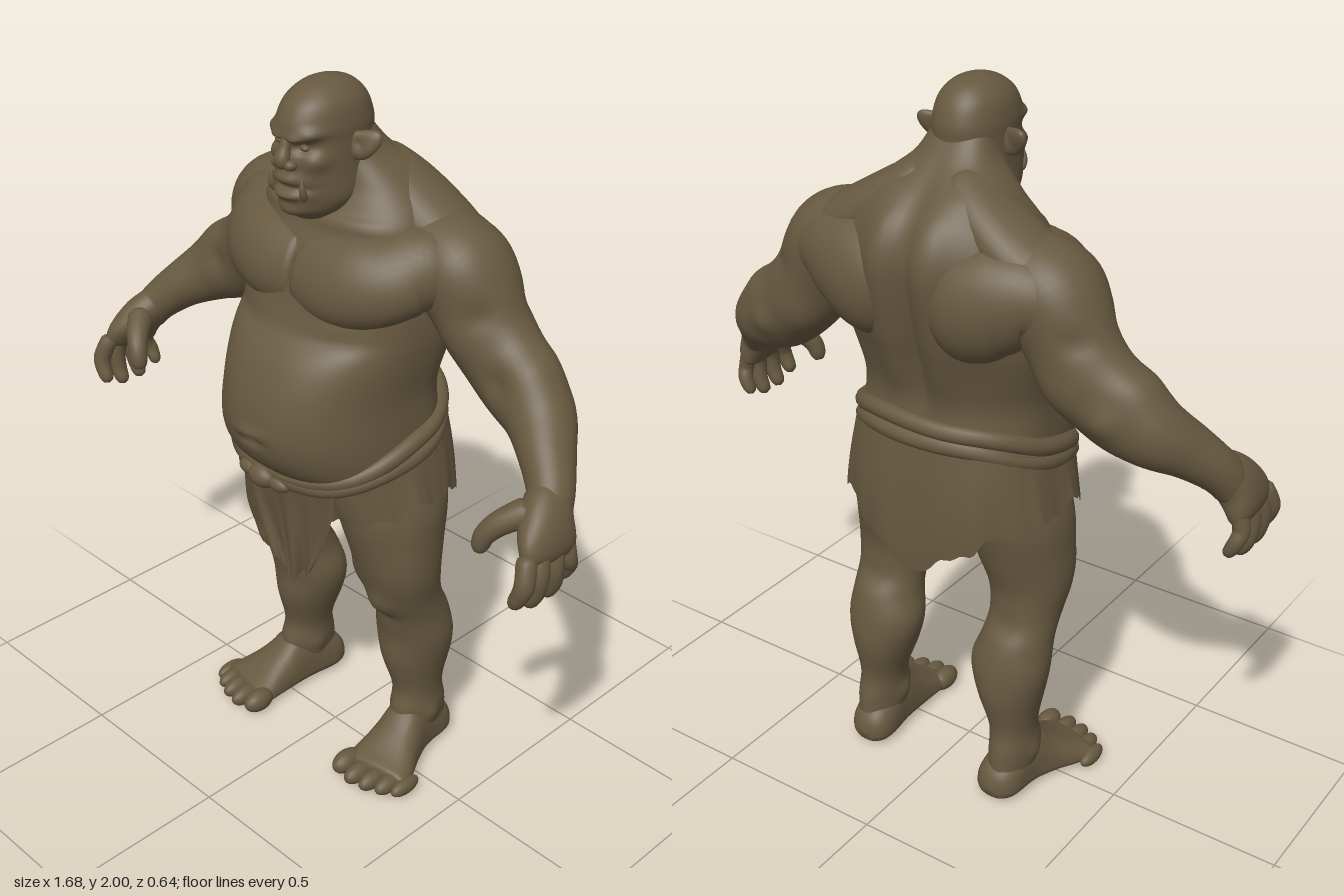
import * as THREE from 'three';
import { ParametricGeometry } from 'three/addons/geometries/ParametricGeometry.js';

const hide = new THREE.MeshStandardMaterial({ color: 0x675940, side: THREE.DoubleSide });
hide.name = 'earthy brown';

// Smooth interpolation through rows of numbers
function sample(rows, t) {
  const n = rows.length - 1, i = Math.min(Math.floor(t), n - 1), f = t - i;
  const p = rows[Math.max(i - 1, 0)], a = rows[i], b = rows[i + 1], q = rows[Math.min(i + 2, n)];
  return a.map((v, k) => v + 0.5 * f * (b[k] - p[k] + f * (2 * p[k] - 5 * v + 4 * b[k] - q[k]
    + f * (3 * (v - b[k]) + q[k] - p[k]))));
}

// Skin over cross-sections [x, y, z, side, front, back]; bumps [x, y, z, rx, ry, rz, height] sculpt it
function loft(rows, { seg = 32, sub = 6, level = false, ref = [0, 0, 1], round = [0, 0], pow = 1, bumps = [] } = {}) {
  const n = rows.length - 1, rings = n * sub, pos = [], idx = [];
  const T = new THREE.Vector3(), U = new THREE.Vector3(), V = new THREE.Vector3(), P = new THREE.Vector3();
  const soft = (d, len) => len && d < len ? Math.sqrt(Math.max(0.0006, 1 - (1 - d / len) ** 2)) : 1;
  const bend = (v) => Math.sign(v) * Math.abs(v) ** pow;
  for (let i = 0; i <= rings; i++) {
    const t = i / sub, r = sample(rows, t), s = soft(t, round[0]) * soft(n - t, round[1]);
    const before = sample(rows, Math.max(t - 0.05, 0)), after = sample(rows, Math.min(t + 0.05, n));
    if (level) T.set(0, 1, 0);
    else T.set(after[0] - before[0], after[1] - before[1], after[2] - before[2]).normalize();
    V.set(...ref).addScaledVector(T, -T.dot(V)).normalize();
    U.crossVectors(T, V);
    for (let j = 0; j < seg; j++) {
      const c = bend(Math.cos(j / seg * Math.PI * 2)), d = bend(Math.sin(j / seg * Math.PI * 2));
      P.set(r[0], r[1], r[2]).addScaledVector(U, c * r[3] * s).addScaledVector(V, d * (d > 0 ? r[4] : r[5]) * s);
      pos.push(P.x, P.y, P.z);
      const a = i * seg + j, b = i * seg + (j + 1) % seg;
      if (i < rings) idx.push(a, a + seg, b, b, a + seg, b + seg);
    }
  }
  const low = pos.length / 3, last = rings * seg;
  pos.push(...rows[0].slice(0, 3), ...rows[n].slice(0, 3));
  for (let j = 0; j < seg; j++) {
    const k = (j + 1) % seg;
    idx.push(low, j, k, low + 1, last + k, last + j);
  }
  const g = new THREE.BufferGeometry();
  g.setAttribute('position', new THREE.Float32BufferAttribute(pos, 3));
  g.setIndex(idx);
  g.computeVertexNormals();
  const at = g.attributes.position;
  for (let i = 0; bumps.length && i < at.count; i++) {
    P.fromBufferAttribute(at, i);
    const h = bumps.reduce((sum, b) => sum + b[6] * Math.exp(
      -(((P.x - b[0]) / b[3]) ** 2) - ((P.y - b[1]) / b[4]) ** 2 - ((P.z - b[2]) / b[5]) ** 2), 0);
    P.addScaledVector(V.fromBufferAttribute(g.attributes.normal, i), h);
    at.setXYZ(i, P.x, P.y, P.z);
  }
  g.computeVertexNormals();
  return g;
}

const both = (list) => list.flatMap((b) => [b, [-b[0], ...b.slice(1)]]);
const ball = (x, y, z, rx, ry, rz) => new THREE.SphereGeometry(1, 20, 14).scale(rx, ry, rz).translate(x, y, z);
function mirror(geo) {
  const g = geo.clone().scale(-1, 1, 1);
  g.index.array.reverse();
  g.computeVertexNormals();
  return g;
}

export function createModel() {
  const model = new THREE.Group();
  model.name = 'ogre';
  const add = (name, geo) => {
    const m = new THREE.Mesh(geo, hide);
    m.name = name;
    model.add(m);
  };
  const pair = (name, geo) => { add(name + 'Left', geo); add(name + 'Right', mirror(geo)); };

  // Torso: round belly, humped back
  add('torso', loft([
    [0, 0.85, -0.04, 0.24, 0.15, 0.15], [0, 0.95, -0.04, 0.275, 0.25, 0.2], [0, 1.02, -0.04, 0.278, 0.32, 0.2],
    [0, 1.1, -0.04, 0.276, 0.35, 0.19], [0, 1.2, -0.04, 0.272, 0.34, 0.175], [0, 1.3, -0.05, 0.282, 0.31, 0.188],
    [0, 1.4, -0.06, 0.288, 0.25, 0.213], [0, 1.5, -0.07, 0.285, 0.23, 0.222], [0, 1.6, -0.08, 0.275, 0.2, 0.215],
    [0, 1.68, -0.08, 0.245, 0.155, 0.19], [0, 1.74, -0.08, 0.19, 0.13, 0.14], [0, 1.81, -0.05, 0.115, 0.1, 0.09],
    [0, 1.88, -0.02, 0.08, 0.07, 0.06]], {
    seg: 80, sub: 8, level: true, pow: 0.87,
    bumps: [
      ...both([[0.14, 1.375, 0.2, 0.12, 0.022, 0.14, -0.01], [0.12, 1.655, 0.07, 0.13, 0.018, 0.08, 0.012],
        [0.07, 1.6, -0.3, 0.05, 0.16, 0.1, 0.022], [0.07, 1.3, -0.24, 0.05, 0.14, 0.1, 0.014],
        [0.28, 1.38, -0.12, 0.1, 0.1, 0.1, 0.014], [0.12, 1.74, -0.14, 0.06, 0.06, 0.1, 0.012]]),
      [0, 1.42, -0.28, 0.03, 0.3, 0.15, -0.03],
      [0, 1.09, 0.31, 0.035, 0.012, 0.05, -0.016], [0, 1.115, 0.31, 0.045, 0.014, 0.05, 0.012]]
  }));
  // Muscle masses that carry the shoulders into the body
  pair('chestMuscle', loft([[-0.005, 1.515, 0.09, 0.105, 0.072, 0.06], [0.11, 1.515, 0.095, 0.116, 0.08, 0.08],
    [0.2, 1.53, 0.06, 0.118, 0.088, 0.09], [0.28, 1.56, -0.02, 0.108, 0.085, 0.09],
    [0.37, 1.54, -0.09, 0.08, 0.06, 0.06]], { sub: 8, ref: [0, 0.4, 1], round: [0.25, 0.9] }));
  pair('shoulderBlade', loft([[0.02, 1.48, -0.18, 0.12, 0.06, 0.085], [0.13, 1.5, -0.2, 0.15, 0.08, 0.112],
    [0.22, 1.53, -0.19, 0.14, 0.1, 0.11], [0.31, 1.54, -0.16, 0.11, 0.09, 0.103],
    [0.4, 1.48, -0.14, 0.08, 0.07, 0.08]], { sub: 8, round: [1, 0.7] }));
  pair('neckMuscle', loft([[0.03, 1.78, -0.08, 0.06, 0.06, 0.07], [0.125, 1.715, -0.11, 0.068, 0.09, 0.1],
    [0.23, 1.64, -0.12, 0.078, 0.1, 0.115], [0.32, 1.575, -0.12, 0.09, 0.1, 0.11]], { sub: 8, round: [0.5, 0.5] }));

  // Head: bald dome, heavy brow, broad underbite
  add('head', loft([
    [0, 1.66, 0.07, 0.05, 0.06, 0.05], [0, 1.69, 0.05, 0.083, 0.11, 0.07], [0, 1.74, 0.03, 0.1, 0.143, 0.09],
    [0, 1.8, 0.03, 0.1, 0.145, 0.12], [0, 1.86, 0.03, 0.098, 0.138, 0.128], [0, 1.9, 0.03, 0.097, 0.143, 0.126],
    [0, 1.95, 0.03, 0.084, 0.118, 0.106], [0, 1.985, 0.03, 0.052, 0.07, 0.068], [0, 2, 0.03, 0.012, 0.015, 0.015]], {
    seg: 80, sub: 9, level: true, pow: 0.94,
    bumps: [
      ...both([[0.03, 1.876, 0.175, 0.025, 0.011, 0.04, 0.014], [0.065, 1.888, 0.15, 0.025, 0.013, 0.04, 0.012],
        [0.045, 1.853, 0.16, 0.025, 0.014, 0.04, -0.018], [0.07, 1.82, 0.13, 0.022, 0.022, 0.04, 0.012],
        [0.045, 1.79, 0.165, 0.012, 0.035, 0.04, -0.007], [0.085, 1.72, 0.06, 0.04, 0.03, 0.05, 0.006]]),
      [0, 1.75, 0.175, 0.06, 0.008, 0.05, -0.014], [0, 1.732, 0.18, 0.05, 0.012, 0.05, 0.016],
      [0, 1.772, 0.18, 0.045, 0.014, 0.05, 0.012], [0, 1.69, 0.16, 0.04, 0.016, 0.05, 0.012]]
  }));
  add('nose', loft([[0, 1.885, 0.16, 0.016, 0.014, 0.02], [0, 1.85, 0.17, 0.016, 0.015, 0.02],
    [0, 1.82, 0.18, 0.022, 0.02, 0.02], [0, 1.798, 0.175, 0.018, 0.014, 0.02]], { seg: 20, round: [0.8, 0.9] }));
  pair('nostril', ball(0.022, 1.81, 0.172, 0.017, 0.014, 0.018));
  pair('eye', ball(0.044, 1.853, 0.146, 0.014, 0.008, 0.01));
  pair('tusk', loft([[0.052, 1.725, 0.153, 0.01, 0.01, 0.01], [0.055, 1.75, 0.165, 0.009, 0.009, 0.009],
    [0.053, 1.78, 0.165, 0.002, 0.002, 0.002]], { seg: 12, round: [0.5, 0.1] }));
  pair('ear', loft([[0.085, 1.84, 0.028, 0.034, 0.016, 0.02], [0.113, 1.848, 0.025, 0.036, 0.018, 0.018],
    [0.137, 1.863, 0.012, 0.028, 0.014, 0.014], [0.157, 1.88, 0, 0.012, 0.008, 0.008]], {
    seg: 28, sub: 8, round: [0, 0.6], bumps: [[0.118, 1.855, 0.045, 0.018, 0.02, 0.03, -0.012]]
  }));

  // Arms
  pair('arm', loft([
    [0.16, 1.6, -0.1, 0.07, 0.09, 0.12], [0.25, 1.585, -0.11, 0.112, 0.115, 0.125], [0.335, 1.53, -0.12, 0.127, 0.13, 0.13],
    [0.42, 1.4, -0.13, 0.118, 0.105, 0.108], [0.515, 1.308, -0.13, 0.113, 0.1, 0.088], [0.605, 1.253, -0.105, 0.095, 0.09, 0.09],
    [0.68, 1.198, -0.05, 0.071, 0.074, 0.074], [0.74, 1.138, 0, 0.058, 0.062, 0.058], [0.77, 1.08, 0.045, 0.048, 0.06, 0.06]], {
    seg: 44, sub: 8, round: [0, 0.4],
    bumps: [[0.37, 1.59, -0.1, 0.07, 0.07, 0.12, 0.016], [0.45, 1.48, -0.12, 0.03, 0.03, 0.14, -0.016],
      [0.4, 1.4, -0.01, 0.06, 0.07, 0.05, 0.018], [0.4, 1.33, -0.22, 0.07, 0.07, 0.06, 0.016],
      [0.52, 1.33, -0.03, 0.035, 0.035, 0.05, -0.014], [0.58, 1.36, -0.11, 0.06, 0.05, 0.08, 0.02],
      [0.53, 1.29, -0.22, 0.04, 0.04, 0.04, 0.016]]
  }));
  // Hands: palms inward, fingers hanging and curled
  pair('palm', loft([[0.728, 1.155, -0.01, 0.045, 0.05, 0.05], [0.765, 1.1, 0.043, 0.053, 0.072, 0.07],
    [0.792, 1.045, 0.07, 0.043, 0.09, 0.088], [0.798, 1.0, 0.08, 0.024, 0.08, 0.08]], { round: [0.6, 0.6], pow: 0.9 }));
  [[0.148, 0.176, 0.915], [0.1, 0.12, 0.893], [0.052, 0.057, 0.893], [0.008, -0.004, 0.915]].forEach(([z, end, y], i) => {
    const r = i === 3 ? 0.023 : 0.026;
    pair('finger' + (i + 1), loft([[0.795, 1.05, z, r, r, r], [0.812, 0.99, (z + end) / 2 + 0.008, r, r, r],
      [0.806, y + 0.04, end, r * 0.9, r * 0.9, r * 0.9], [0.782, y - 0.005, end, r * 0.75, r * 0.75, r * 0.75]],
    { seg: 14, round: [0.4, 0.6] }));
  });
  pair('thumb', loft([[0.745, 1.12, 0.07, 0.04, 0.04, 0.04], [0.695, 1.085, 0.125, 0.032, 0.032, 0.032],
    [0.665, 1.045, 0.15, 0.027, 0.027, 0.027], [0.653, 0.995, 0.155, 0.021, 0.021, 0.021]], { seg: 16, round: [0.4, 0.6] }));

  // Legs
  pair('leg', loft([
    [0.23, 0.04, -0.12, 0.056, 0.07, 0.09], [0.232, 0.14, -0.105, 0.064, 0.09, 0.098], [0.228, 0.22, -0.11, 0.064, 0.082, 0.08],
    [0.218, 0.33, -0.11, 0.09, 0.11, 0.1], [0.216, 0.42, -0.1, 0.104, 0.105, 0.105], [0.223, 0.5, -0.08, 0.097, 0.105, 0.105],
    [0.225, 0.57, -0.05, 0.098, 0.105, 0.105], [0.222, 0.65, -0.035, 0.11, 0.118, 0.11], [0.203, 0.75, -0.03, 0.128, 0.14, 0.14],
    [0.187, 0.85, -0.03, 0.14, 0.16, 0.165], [0.165, 0.95, -0.04, 0.13, 0.165, 0.17], [0.15, 1.02, -0.05, 0.1, 0.12, 0.14]], {
    seg: 44, level: true,
    bumps: [[0.222, 0.565, 0.06, 0.045, 0.04, 0.05, 0.016], [0.222, 0.505, 0.03, 0.04, 0.02, 0.04, -0.008],
      [0.13, 0.42, -0.13, 0.05, 0.08, 0.07, 0.012], [0.29, 0.4, -0.13, 0.05, 0.08, 0.07, 0.01],
      [0.15, 0.65, 0.04, 0.045, 0.05, 0.06, 0.016], [0.3, 0.7, 0.02, 0.05, 0.1, 0.07, 0.012],
      [0.22, 0.56, -0.17, 0.05, 0.04, 0.05, -0.01], [0.3, 0.13, -0.1, 0.02, 0.025, 0.03, 0.01],
      [0.166, 0.14, -0.09, 0.02, 0.025, 0.03, 0.01]]
  }));
  // Feet and toes
  pair('foot', loft([
    [0.225, 0.042, -0.228, 0.05, 0.05, 0.04], [0.225, 0.042, -0.17, 0.066, 0.085, 0.042], [0.235, 0.042, -0.08, 0.066, 0.14, 0.042],
    [0.25, 0.036, 0, 0.08, 0.092, 0.036], [0.268, 0.03, 0.075, 0.1, 0.05, 0.03], [0.278, 0.026, 0.125, 0.108, 0.032, 0.026]],
  { ref: [0, 1, 0], round: [0.8, 0.4], pow: 0.88 }));
  [[0.19, 0.034, 0.138], [0.243, 0.029, 0.145], [0.291, 0.028, 0.135], [0.335, 0.027, 0.115], [0.372, 0.024, 0.088]]
    .forEach(([x, r, z], i) => pair('toe' + (i + 1), ball(x, r, z, r * 0.92, r, 0.052)));

  // Cloth belt: two strands, low in front and high behind
  [-1, 1].forEach((side, k) => {
    const pts = Array.from({ length: 28 }, (_, i) => {
      const a = i / 28 * Math.PI * 2, s = Math.sin(a), c = Math.cos(a);
      const off = side * (0.022 - 0.017 * Math.max(s, 0)) + 0.004 * Math.sin(5 * a + k);
      return new THREE.Vector3(0.28 * Math.sign(c) * Math.abs(c) ** 0.9, 1.052 - 0.085 * s + off,
        -0.01 + 0.24 * Math.sign(s) * Math.abs(s) ** 0.9);
    });
    add('beltStrand' + (k + 1), new THREE.TubeGeometry(new THREE.CatmullRomCurve3(pts, true), 112, 0.025, 12, true));
  });
  add('knot', ball(-0.02, 0.955, 0.25, 0.045, 0.032, 0.03));
  [[-0.075, 0.955], [0.035, 0.95]].forEach(([x, y], i) => add('knotEnd' + (i + 1), ball(x, y, 0.24, 0.04, 0.022, 0.024)));

  // Hide skirt with ragged hem, dropping to a point behind
  add('skirt', new ParametricGeometry((u, v, p) => {
    const a = u * Math.PI * 2, s = Math.sin(a), c = Math.cos(a);
    const point = s < 0 ? 0.12 * Math.max(0, 1 - Math.abs(c) * 1.7) : 0;
    const hem = 0.91 - 0.065 * Math.abs(s) - point + 0.01 * Math.sin(13 * a) + 0.006 * Math.sin(31 * a);
    const fold = 1 + v * (0.01 * Math.sin(9 * a + 1) + 0.007 * Math.sin(17 * a));
    const depth = s > 0 ? 0.24 - 0.05 * v : 0.245 + 0.025 * Math.sin(v * Math.PI / 1.5);
    p.set((0.29 + 0.036 * v) * fold * Math.sign(c) * Math.abs(c) ** 0.8,
      THREE.MathUtils.lerp(1.05 - 0.085 * s, hem, v), -0.01 + depth * fold * Math.sign(s) * Math.abs(s) ** 0.8);
  }, 144, 16));
  // Hanging front cloth with torn lower edge
  add('frontCloth', new ParametricGeometry((u, v, p) => {
    const w = u * 2 - 1, half = 0.185 - 0.1 * v ** 1.8;
    const tear = 0.022 * Math.abs(((u * 6) % 1) * 2 - 1) + 0.012 * Math.sin(u * 37);
    const fold = 0.009 * Math.sin(w * 7 + v) + 0.004 * Math.sin(w * 15 - v * 2);
    p.set(0.012 + w * half, THREE.MathUtils.lerp(0.955 + 0.02 * w * w, 0.61 + 0.06 * w * w + tear, v),
      0.235 - 0.055 * v ** 0.7 - 0.035 * w * w * (1 - v) + fold * (0.3 + v));
  }, 60, 20));
  return model;
}
